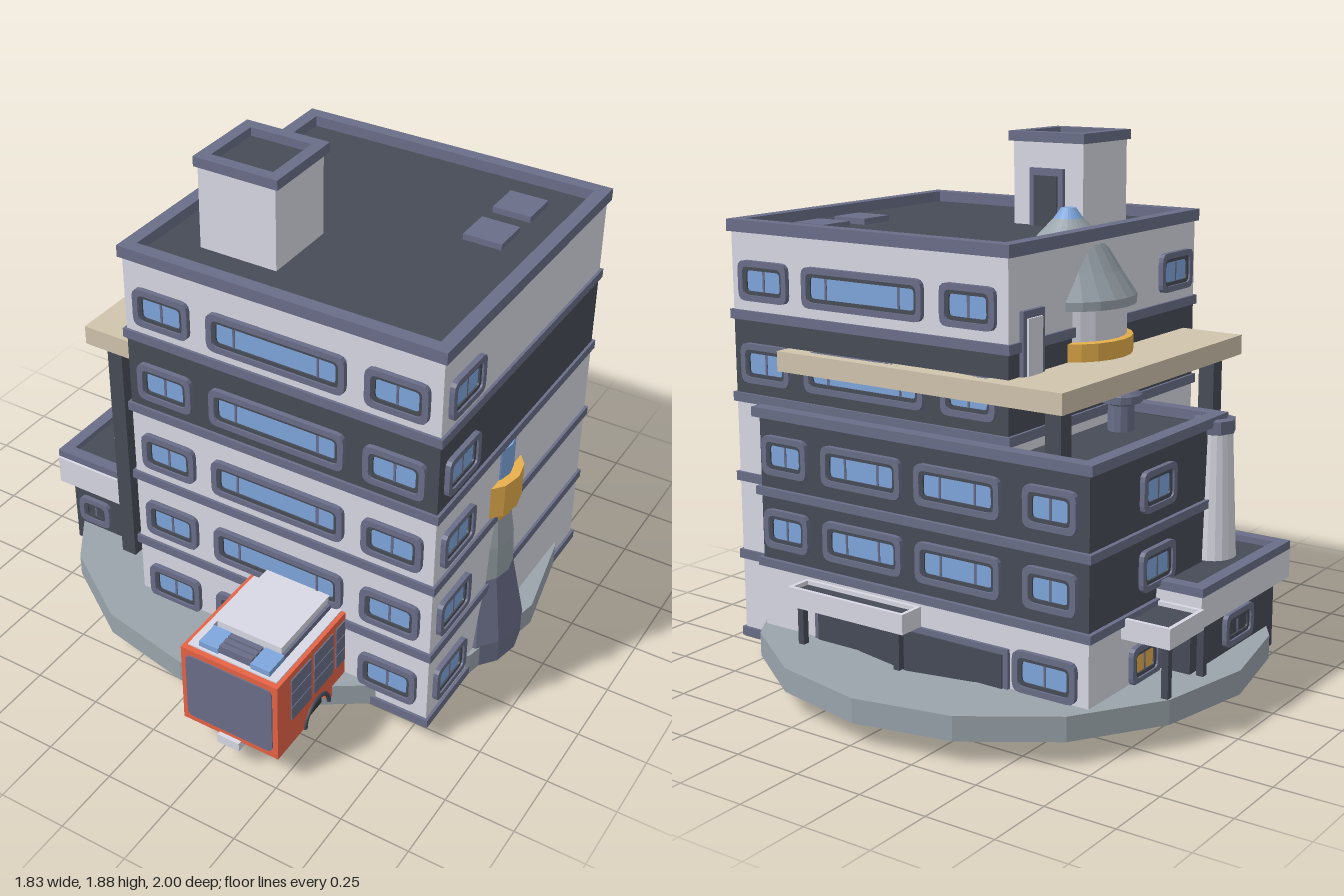
import * as THREE from 'three';

const mat = (name, color) => { const m = new THREE.MeshStandardMaterial({ color }); m.name = name; return m; };
const light = mat('pale wall', 0xd9d9e5), dark = mat('charcoal', 0x474c57), trim = mat('slate trim', 0x6a6e88);
const blue = mat('blue glass', 0x7fa6dd), grey = mat('concrete', 0x99a4ab), tan = mat('tan deck', 0xd0c5ae);
const gold = mat('gold', 0xf6bb52), red = mat('orange red', 0xea6446), black = mat('tyre black', 0x363943);

export function createModel() {
  const model = new THREE.Group();

  const add = (name, geo, m, parent = model) => {
    const mesh = new THREE.Mesh(geo, m);
    mesh.name = name;
    parent.add(mesh);
    return mesh;
  };
  // Box from its limits
  const box = (name, m, x0, x1, y0, y1, z0, z1, parent = model) => {
    const b = add(name, new THREE.BoxGeometry(x1 - x0, y1 - y0, z1 - z0), m, parent);
    b.position.set((x0 + x1) / 2, (y0 + y1) / 2, (z0 + z1) / 2);
    return b;
  };
  // Open rectangular rim of thickness t
  const rim = (name, m, x0, x1, y0, y1, z0, z1, t) => {
    box(name, m, x0, x1, y0, y1, z1 - t, z1);
    box(name, m, x0, x1, y0, y1, z0, z0 + t);
    box(name, m, x0, x0 + t, y0, y1, z0 + t, z1 - t);
    box(name, m, x1 - t, x1, y0, y1, z0 + t, z1 - t);
  };
  // Faceted solid of revolution from [radius, height] pairs
  const spin = (name, m, pts, sides, x, z, parent = model) => {
    const g = new THREE.LatheGeometry(pts.map(p => new THREE.Vector2(...p)), sides).toNonIndexed();
    g.computeVertexNormals();
    const s = add(name, g, m, parent);
    s.position.set(x, 0, z);
    return s;
  };
  const outline = (target, w, h, c) => {
    const a = w / 2, b = h / 2;
    target.moveTo(-a + c, -b); target.lineTo(a - c, -b); target.quadraticCurveTo(a, -b, a, -b + c);
    target.lineTo(a, b - c); target.quadraticCurveTo(a, b, a - c, b);
    target.lineTo(-a + c, b); target.quadraticCurveTo(-a, b, -a, b - c);
    target.lineTo(-a, -b + c); target.quadraticCurveTo(-a, -b, -a + c, -b);
    return target;
  };
  const ring = (w, h, t, c, depth) => {
    const s = outline(new THREE.Shape(), w, h, c);
    s.holes.push(outline(new THREE.Path(), w - 2 * t, h - 2 * t, c * 0.7));
    return new THREE.ExtrudeGeometry(s, { depth, bevelEnabled: false, curveSegments: 3 });
  };
  // Framed window on a wall; turn is the wall's facing in quarter turns from the front
  const windowUnit = (x, y, z, turn, w, h = 0.14, pane = blue) => {
    const g = new THREE.Group();
    g.name = 'window';
    add('windowFrame', ring(w, h, 0.021, 0.03, 0.018), trim, g);
    add('windowGasket', ring(w - 0.042, h - 0.042, 0.013, 0.02, 0.011), dark, g);
    box('windowPane', pane, -w / 2 + 0.03, w / 2 - 0.03, -h / 2 + 0.03, h / 2 - 0.03, 0, 0.005, g);
    const bars = w > 0.3 ? [-w / 2 + 0.1, w / 2 - 0.1] : [0];
    for (const b of bars) box('mullion', trim, b - 0.004, b + 0.004, -h / 2 + 0.03, h / 2 - 0.03, 0, 0.008, g);
    g.position.set(x, y, z);
    g.rotation.y = turn * Math.PI / 2;
    model.add(g);
  };

  // Round forecourt ring
  const court = new THREE.Shape(), inner = new THREE.Path();
  for (let i = 0; i < 16; i++) {
    const a = i * Math.PI / 8, k = i ? 'lineTo' : 'moveTo';
    court[k](0.91 * Math.cos(a), 0.91 * Math.sin(a));
    inner[k](0.63 * Math.cos(a), 0.63 * Math.sin(a));
  }
  court.holes.push(inner);
  const slab = add('forecourt', new THREE.ExtrudeGeometry(court, { depth: 0.085, bevelEnabled: false }), grey);
  slab.rotation.x = -Math.PI / 2;
  slab.position.set(-0.01, 0.08, -0.09);

  // Main tower: storeys, bands and windows
  const bands = [0.08, 0.375, 0.665, 0.955, 1.25, 1.545];
  for (let i = 0; i < 5; i++) {
    const y = bands[i];
    box('storey', i === 3 ? dark : light, -0.35, 0.82, y + 0.01, bands[i + 1] + 0.01, -0.61, 0.56);
    box('storeyBand', trim, -0.36, 0.83, y, y + 0.033, -0.62, 0.57);
    const c = 0.23 + i * 0.29;
    for (const [x, w] of [[-0.2, 0.215], [0.235, 0.51], [0.67, 0.22]]) {
      windowUnit(x, c, 0.56, 0, w);
      if (i > 2) windowUnit(x, c, -0.61, 2, w);
    }
    windowUnit(0.82, c, 0.415, 1, 0.215);
    if (i > 1) windowUnit(-0.35, c, 0.415, -1, 0.215);
  }
  box('towerUnderside', dark, -0.355, 0.825, 0.076, 0.082, -0.615, 0.565);
  box('roof', dark, -0.34, 0.81, 1.55, 1.558, -0.6, 0.55);
  rim('parapet', trim, -0.362, 0.832, 1.555, 1.597, -0.622, 0.572, 0.048);
  for (const z of [-0.39, -0.175]) box('roofVent', trim, 0.53, 0.67, 1.55, 1.58, z - 0.068, z + 0.068);

  // Roof stair house
  box('stairHouse', light, -0.165, 0.125, 1.55, 1.85, 0.1, 0.385);
  box('stairHouseTop', dark, -0.14, 0.1, 1.85, 1.855, 0.12, 0.36);
  rim('stairHouseRim', trim, -0.177, 0.137, 1.85, 1.885, 0.083, 0.393, 0.042);
  box('stairDoorFrame', trim, -0.09, 0.05, 1.55, 1.76, 0.085, 0.1);
  box('stairDoor', dark, -0.068, 0.028, 1.55, 1.735, 0.079, 0.086);

  // Deck around the tower on corner columns
  box('deck', tan, -0.59, 0.57, 1.1, 1.17, -0.67, 0.49);
  for (const z of [-0.57, 0.41]) box('deckColumn', dark, -0.54, -0.48, 0.1, 1.1, z - 0.03, z + 0.03);
  box('deckDoorFrame', trim, -0.365, -0.35, 1.17, 1.38, -0.55, -0.43);
  box('deckDoor', light, -0.372, -0.364, 1.17, 1.355, -0.53, -0.45);

  // Domed turret breaking through the deck and roof
  spin('turretCollar', gold, [[0.222, 1.16], [0.222, 1.23], [0.19, 1.235]], 24, -0.23, -0.09);
  spin('turretBody', light, [[0.2, 1.22], [0.2, 1.35]], 24, -0.23, -0.09);
  spin('turretDome', grey, [[0.19, 1.34], [0.233, 1.34], [0.233, 1.37], [0.18, 1.45], [0.125, 1.54], [0.05, 1.62]], 24, -0.23, -0.09);
  spin('turretTip', blue, [[0.05, 1.62], [0.025, 1.654], [0, 1.656]], 24, -0.23, -0.09);

  // Mushroom vent on the annex roof
  spin('roofCowl', trim, [[0.045, 0.9], [0.045, 1.01], [0.072, 1.02], [0.072, 1.045], [0.04, 1.072], [0, 1.075]], 12, -0.445, -0.09);

  // Beacon set into the side wall
  const beacon = new THREE.Group();
  beacon.name = 'beacon';
  model.add(beacon);
  const beaconParts = [
    ['beaconBase', trim, [[0, 0.08], [0.19, 0.08], [0.19, 0.17], [0.13, 0.42]]],
    ['beaconNeck', grey, [[0.13, 0.42], [0.122, 0.55], [0.1, 0.67]]],
    ['beaconCollar', gold, [[0.09, 0.66], [0.112, 0.665], [0.118, 0.7], [0.142, 0.705], [0.142, 0.83], [0.09, 0.83]]],
    ['beaconLamp', blue, [[0.1, 0.82], [0.1, 0.95], [0, 0.95]]]];
  for (const [n, m, p] of beaconParts) spin(n, m, p, 12, 0, 0, beacon);
  beacon.position.set(0.757, 0, 0.055);
  beacon.scale.x = 0.78;

  // Rear annex
  box('annexGround', light, -0.68, 0.68, 0.08, 0.4, -0.65, 0.18);
  box('annexUpper', dark, -0.68, 0.68, 0.39, 0.92, -0.65, 0.18);
  box('annexUnderside', dark, -0.685, 0.685, 0.075, 0.083, -0.655, 0.185);
  for (const y of [0.08, 0.385, 0.645]) box('annexBand', trim, -0.695, 0.695, y, y + 0.03, -0.665, 0.19);
  rim('annexParapet', trim, -0.7, 0.7, 0.925, 0.96, -0.67, 0.195, 0.05);
  rim('annexParapetWall', dark, -0.68, 0.68, 0.9, 0.93, -0.65, 0.18, 0.03);
  for (const y of [0.53, 0.795]) {
    for (const [x, w] of [[-0.54, 0.2], [-0.18, 0.34], [0.22, 0.34], [0.56, 0.2]]) windowUnit(x, y, -0.65, 2, w);
    windowUnit(-0.68, y, -0.25, -1, 0.21);
  }
  windowUnit(-0.52, 0.24, -0.65, 2, 0.24);
  box('rearDoorFrame', trim, -0.38, 0.44, 0.11, 0.3, -0.662, -0.65);
  box('rearDoor', dark, -0.36, 0.42, 0.11, 0.28, -0.668, -0.66);

  // Rear canopy
  rim('rearCanopyRim', light, -0.02, 0.48, 0.3, 0.37, -0.75, -0.65, 0.014);
  box('rearCanopyTop', dark, -0.01, 0.47, 0.3, 0.355, -0.74, -0.66);
  for (const x of [0.02, 0.44]) box('rearCanopyPost', dark, x - 0.012, x + 0.012, 0.16, 0.3, -0.735, -0.71);

  // Low side wing
  box('wing', dark, -0.8, -0.35, 0.08, 0.36, -0.22, 0.38);
  box('wingFascia', light, -0.85, -0.35, 0.34, 0.45, -0.24, 0.4);
  box('wingRoof', dark, -0.83, -0.36, 0.45, 0.455, -0.22, 0.37);
  rim('wingParapet', trim, -0.855, -0.35, 0.448, 0.478, -0.243, 0.39, 0.045);
  windowUnit(-0.7, 0.245, 0.38, 0, 0.14, 0.11, dark);
  windowUnit(-0.8, 0.245, 0.1, -1, 0.2, 0.12, dark);

  // Side canopy, posts and lit window
  rim('sideCanopyRim', light, -0.86, -0.68, 0.34, 0.41, -0.46, -0.24, 0.014);
  box('sideCanopyTop', dark, -0.85, -0.69, 0.345, 0.395, -0.45, -0.25);
  for (const z of [-0.43, -0.2]) box('sidePost', dark, -0.845, -0.82, 0.08, 0.36, z - 0.012, z + 0.012);
  windowUnit(-0.68, 0.225, -0.32, -1, 0.18, 0.13, gold);

  // Chimney on the wing
  spin('chimney', light, [[0.085, 0.46], [0.064, 0.9]], 20, -0.672, 0.15);
  spin('chimneyCap', trim, [[0.06, 0.895], [0.074, 0.9], [0.074, 0.945], [0.05, 0.95], [0.05, 0.9], [0, 0.9]], 8, -0.672, 0.15);

  // Truck coming out of the front wall
  const truck = new THREE.Group();
  truck.name = 'truck';
  model.add(truck);
  const side = new THREE.Shape();
  side.moveTo(0.5, 0.12); side.lineTo(0.66, 0.12);
  side.absarc(0.74, 0.12, 0.075, Math.PI, 0, true);
  side.lineTo(0.985, 0.12); side.lineTo(0.985, 0.437); side.lineTo(0.5, 0.437);
  const body = add('truckBody', new THREE.ExtrudeGeometry(side, { depth: 0.375, bevelEnabled: false }), red, truck);
  body.rotation.y = -Math.PI / 2;
  body.position.x = 0.5;
  box('truckChassis', black, 0.16, 0.47, 0.09, 0.2, 0.5, 0.96, truck);
  box('truckBumper', light, 0.27, 0.355, 0.09, 0.125, 0.95, 1.0, truck);
  const screen = outline(new THREE.Shape(), 0.335, 0.27, 0.025);
  add('windscreen', new THREE.ExtrudeGeometry(screen, { depth: 0.006, bevelEnabled: false }), trim, truck)
    .position.set(0.3125, 0.28, 0.984);
  box('truckRoof', light, 0.14, 0.485, 0.437, 0.442, 0.56, 0.965, truck);
  box('truckLocker', light, 0.19, 0.44, 0.44, 0.488, 0.55, 0.865, truck);
  for (const x of [0.18, 0.445]) box('lockerRail', trim, x - 0.006, x + 0.006, 0.44, 0.462, 0.55, 0.865, truck);
  for (const x of [0.215, 0.415]) box('lightBar', blue, x - 0.037, x + 0.037, 0.44, 0.463, 0.865, 0.955, truck);
  for (const z of [0.885, 0.912, 0.938]) box('lightBarCentre', trim, 0.252, 0.378, 0.44, 0.472, z - 0.01, z + 0.01, truck);
  for (const x of [0.125, 0.5]) {
    // Shutters and wheel arch on both flanks
    for (const [z0, z1] of [[0.785, 0.905], [0.645, 0.765], [0.57, 0.625]])
      for (let r = 0; r < 3; r++)
        box('shutter', trim, x - 0.005, x + 0.005, 0.232 + r * 0.061, 0.288 + r * 0.061, z0, z1, truck);
    const arch = add('wheelArch', new THREE.TorusGeometry(0.076, 0.008, 6, 14, Math.PI), dark, truck);
    arch.rotation.y = Math.PI / 2;
    arch.position.set(x, 0.115, 0.74);
  }
  for (let i = 0; i < 4; i++) {
    const tyre = add('tyre', new THREE.TorusGeometry(0.068, 0.027, 8, 20), black, truck);
    tyre.rotation.y = Math.PI / 2;
    tyre.position.set(0.225 + i * 0.047, 0.095, 0.555);
  }
  const axle = add('wheelHub', new THREE.CylinderGeometry(0.06, 0.06, 0.17, 16), trim, truck);
  axle.rotation.z = Math.PI / 2;
  axle.position.set(0.295, 0.095, 0.555);

  return model;
}
